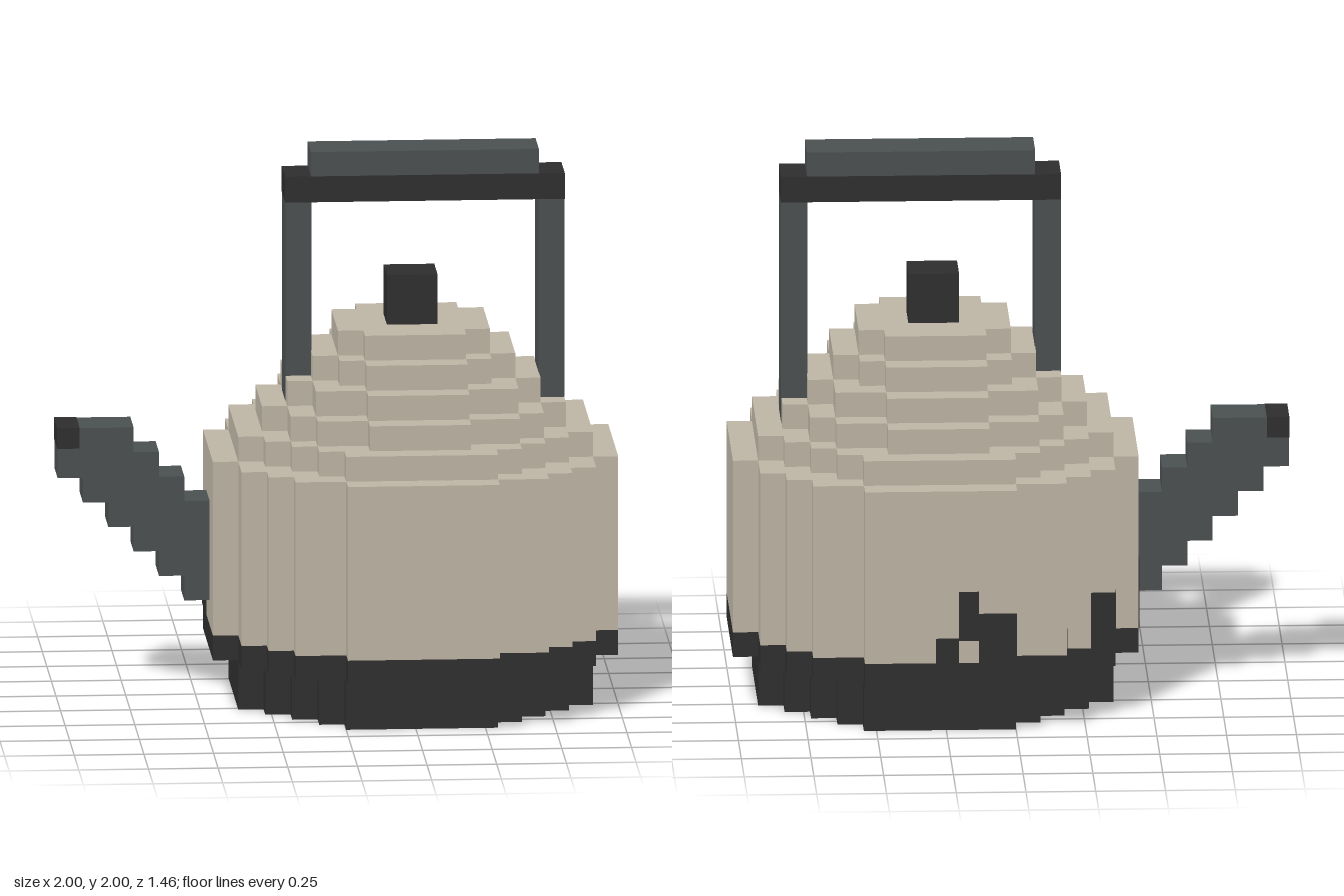
import * as THREE from 'three';

const U = 1 / 11; // one block

const mat = (name, color) => {
  const m = new THREE.MeshStandardMaterial({ color });
  m.name = name;
  return m;
};

export function createModel() {
  const beige = mat('beige enamel', 0xbdb4a4);
  const slate = mat('slate grey', 0x4a4f50);
  const dark = mat('charcoal', 0x2d2d2d);

  const model = new THREE.Group();
  model.name = 'kettle';

  const add = (name, geo, material, parent = model) => {
    const mesh = new THREE.Mesh(geo, material);
    mesh.name = name;
    parent.add(mesh);
    return mesh;
  };

  // Box given by its limits in blocks, grown by g blocks
  const box = (name, [x0, x1], [y0, y1], [z0, z1], material, parent = model, g = 0) => {
    const geo = new THREE.BoxGeometry((x1 - x0 + 2 * g) * U, (y1 - y0 + 2 * g) * U, (z1 - z0 + 2 * g) * U);
    const mesh = add(name, geo, material, parent);
    mesh.position.set((x0 + x1) / 2 * U, (y0 + y1) / 2 * U, (z0 + z1) / 2 * U);
    return mesh;
  };

  // Stepped disc: every block whose centre lies within radius r
  const disc = (name, r, y0, y1, material) => {
    const half = (row) => Math.floor(Math.sqrt(r * r - (row + 0.5) ** 2) + 0.5);
    const right = [];
    for (let row = -r; row < r; row++) {
      const h = half(row);
      right.push([h, row], [h, row + 1]);
    }
    const left = right.map(([x, z]) => [-x, z]).reverse();
    // Drop points repeated where rows have equal width
    const pts = [...right, ...left].filter(([x, z], i, a) => {
      const [px, pz] = a[(i + a.length - 1) % a.length];
      const [nx, nz] = a[(i + 1) % a.length];
      return !(x === px && x === nx) && !(x === px && z === pz) && !(z === pz && z === nz);
    });
    const shape = new THREE.Shape(pts.map(([x, z]) => new THREE.Vector2(x * U, z * U)));
    const geo = new THREE.ExtrudeGeometry(shape, { depth: (y1 - y0) * U, bevelEnabled: false });
    geo.rotateX(-Math.PI / 2);
    add(name, geo, material).position.set(3 * U, y0 * U, 0);
  };

  // Base and body
  disc('foot', 7, 0, 2, dark);
  disc('baseBand', 8, 2, 3, dark);
  disc('body', 8, 3, 10, beige);
  for (let i = 0; i < 5; i++) disc('shoulderStep' + (i + 1), 7 - i, 10 + i, 11 + i, beige);

  // Lid knob
  box('lidKnob', [2, 4], [15, 17], [-1, 1], dark);

  // Handle
  const handle = new THREE.Group();
  handle.name = 'handle';
  model.add(handle);
  for (const x of [-2, 8]) box('handlePost', [x, x + 1], [11, 20], [-1, 1], slate, handle, 0.015);
  box('handleBar', [-2, 9], [20, 21], [-1, 1], dark, handle, 0.02);
  box('handleGrip', [-1, 8], [21, 22], [-1, 1], slate, handle);

  // Spout: stepped columns rising away from the body
  const spoutPts = [[-5, 4]];
  for (let i = 0; i < 6; i++) spoutPts.push([-6 - i, 4 + i], [-6 - i, i < 5 ? 5 + i : 11]);
  spoutPts.push([-8, 11], [-8, 10], [-7, 10], [-7, 9], [-6, 9], [-6, 8], [-5, 8]);
  const spoutShape = new THREE.Shape(spoutPts.map(([x, y]) => new THREE.Vector2(x * U, y * U)));
  const spoutGeo = new THREE.ExtrudeGeometry(spoutShape, { depth: 2 * U, bevelEnabled: false });
  spoutGeo.translate(0, 0, -U);
  add('spout', spoutGeo, slate);
  box('spoutTip', [-11, -10.15], [10.2, 11], [-1, 1], dark, model, 0.02);

  // Scorch marks above the band: thin plates on the rear and spout-side faces
  const marks = new THREE.Group();
  marks.name = 'scorchMarks';
  model.add(marks);
  const t = 0.03;
  const rear = [ // x range, y range, face z
    [[0, 1.5], [3, 5], -8],
    [[1.5, 2.3], [3.9, 5.9], -8],
    [[2.3, 3.2], [3, 4], -8],
    [[-4, -3], [3, 5], -5],
  ];
  for (const [x, y, z] of rear) box('rearMark', x, y, [z - t, z], dark, marks);
  const side = [ // z range, y range, face x
    [[-7, -6], [3, 4], -2],
    [[-5, -3.3], [3, 5], -4],
    [[-3, -2], [3, 5.8], -5],
    [[-2, -1], [3, 4], -5],
  ];
  for (const [z, y, x] of side) box('sideMark', [x - t, x], y, z, dark, marks);

  return model;
}
